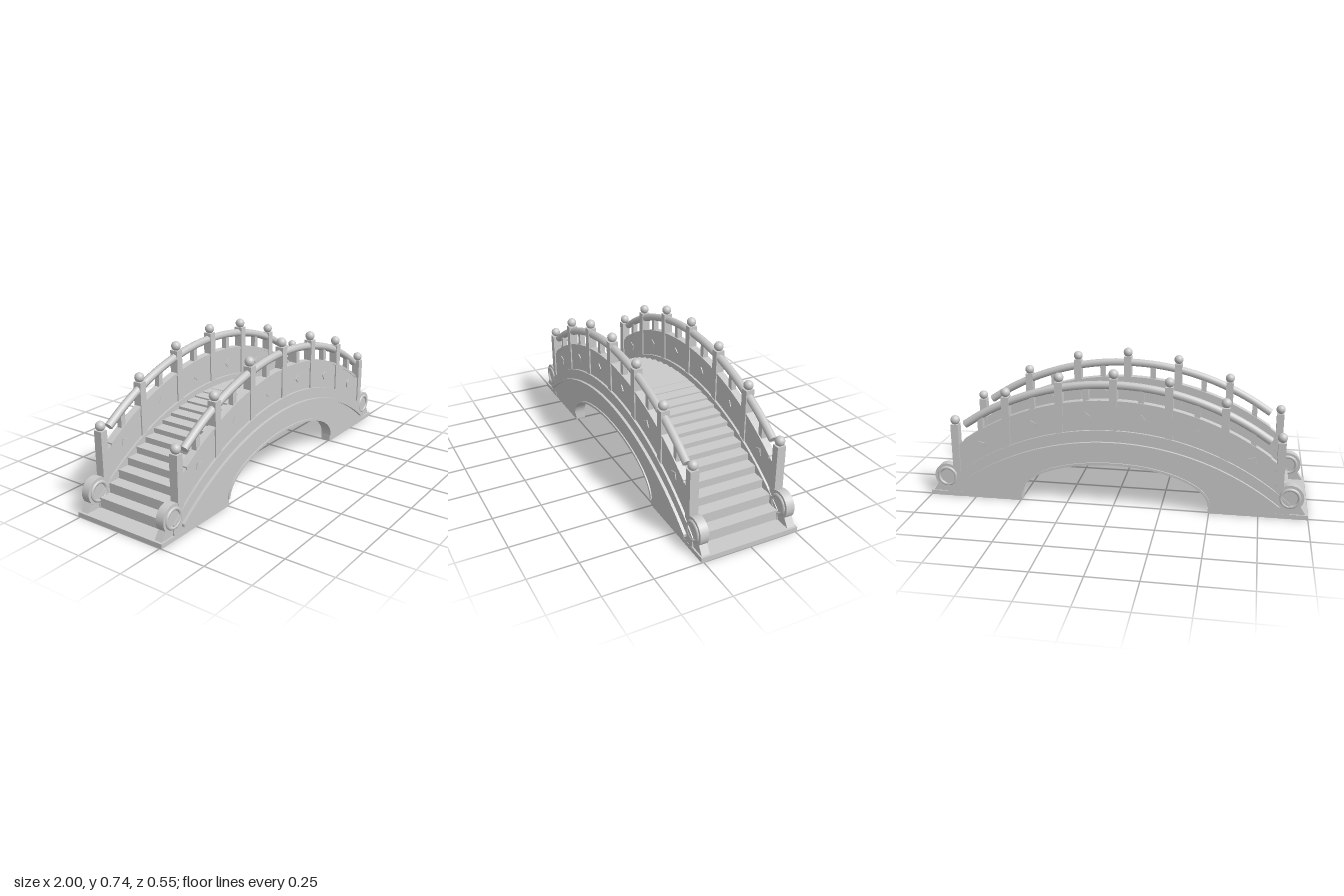
import * as THREE from 'three';

const stone = new THREE.MeshStandardMaterial({ color: 0xcacaca });
stone.name = 'pale stone';

const R = 1.38; // radius shared by all the bridge arcs
const arc = (top, x) => top - R + Math.sqrt(R * R - x * x);
const POSTS = [-0.85, -0.567, -0.283, 0, 0.283, 0.567, 0.85];
const SIDE = 0.232; // z of each balustrade

export function createModel() {
  const model = new THREE.Group();
  model.name = 'archedFootbridge';

  const add = (parent, name, geometry, x = 0, y = 0, z = 0) => {
    const mesh = new THREE.Mesh(geometry, stone);
    mesh.name = name;
    mesh.position.set(x, y, z);
    parent.add(mesh);
    return mesh;
  };
  const box = (parent, name, w, h, d, x, y, z) =>
    add(parent, name, new THREE.BoxGeometry(w, h, d), x, y, z);

  // points along a bridge arc
  const arcPoints = (top, x0, x1, n = 48) =>
    Array.from({ length: n + 1 }, (_, i) => {
      const x = x0 + (x1 - x0) * i / n;
      return new THREE.Vector2(x, arc(top, x));
    });
  // points along the opening below the bridge, from right to left
  const openingPoints = (a, b, n = 40) =>
    Array.from({ length: n + 1 }, (_, i) => {
      const t = Math.PI * i / n;
      return new THREE.Vector2(a * Math.cos(t), 0.04 + b * Math.sin(t));
    });
  const slab = (parent, name, points, z0, z1) =>
    add(parent, name, new THREE.ExtrudeGeometry(new THREE.Shape(points),
      { depth: z1 - z0, bevelEnabled: false }), 0, 0, z0);
  const band = (parent, name, top, bottom, x0, x1, z0, z1, n) =>
    slab(parent, name, [...arcPoints(bottom, x0, x1, n), ...arcPoints(top, x1, x0, n)], z0, z1);

  // stepped deck
  const pitch = 0.067;
  for (let i = -13; i <= 13; i++) {
    const top = arc(0.388, i * pitch);
    const h = Math.min(0.052, top - 0.004);
    box(model, 'step', pitch + 0.004, h, 0.42, i * pitch, top - h / 2, 0);
  }
  // landings at both ends
  for (const s of [-1, 1]) box(model, 'landing', 0.18, 0.024, 0.522, s * 0.91, 0.012, 0);

  const buildSide = (dir) => {
    const side = new THREE.Group();
    side.name = dir > 0 ? 'frontSide' : 'backSide';

    // spandrel wall with the arched opening
    const V = (x, y) => new THREE.Vector2(x, y);
    slab(side, 'spandrelWall', [
      ...arcPoints(0.42, 0.91, -0.91), V(-0.91, 0), V(-0.495, 0),
      ...openingPoints(0.495, 0.195).reverse(), V(0.495, 0), V(0.91, 0),
    ], 0.205, 0.26);

    // raised mouldings on the outer face
    band(side, 'archMoulding', 0.36, 0.345, -0.855, 0.855, 0.255, 0.275);
    slab(side, 'openingMoulding',
      [...openingPoints(0.505, 0.206), ...openingPoints(0.492, 0.193).reverse()], 0.255, 0.267);

    // parapet panels, cap and diamonds
    band(side, 'parapet', 0.57, 0.41, -0.84, 0.84, 0.216, 0.248);
    band(side, 'parapetCap', 0.577, 0.562, -0.8, 0.8, 0.212, 0.252);
    for (let i = 0; i < 6; i++) {
      const x = (POSTS[i] + POSTS[i + 1]) / 2;
      const slope = -Math.asin(x / R);
      for (const z of [0.216, 0.248]) {
        const d = box(side, 'diamond', 0.036, 0.036, 0.009, x, arc(0.492, x), z);
        d.rotation.z = slope + Math.PI / 4;
      }
      // short balusters under the rail
      const y0 = arc(0.565, x), y1 = arc(0.655, x);
      box(side, 'baluster', 0.028, y1 - y0, 0.028, x, (y0 + y1) / 2, SIDE);
    }

    // posts with ball finials
    const tops = [0.402, 0.567, 0.66, 0.69];
    POSTS.forEach((x, i) => {
      const top = tops[Math.min(i, 6 - i)];
      const bottom = arc(0.41, x);
      box(side, 'post', 0.04, top - bottom, 0.046, x, (top + bottom) / 2, SIDE);
      add(side, 'finial', new THREE.SphereGeometry(0.025, 20, 14), x, top + 0.022, SIDE);
    });

    // curved handrail with closed ends
    const path = new THREE.CatmullRomCurve3(
      arcPoints(0.655, -0.795, 0.795, 16).map((p) => new THREE.Vector3(p.x, p.y, SIDE)));
    add(side, 'handrail', new THREE.TubeGeometry(path, 48, 0.021, 8));
    for (const s of [-1, 1]) {
      const end = add(side, 'handrailEnd', new THREE.CircleGeometry(0.021, 8),
        s * 0.795, arc(0.655, 0.795), SIDE);
      end.lookAt(end.position.clone().add(path.getTangent(s > 0 ? 1 : 0).multiplyScalar(s)));
    }

    // drum stones on splayed feet
    for (const s of [-1, 1]) {
      const cx = s * 0.905, cy = 0.11;
      const drum = add(side, 'drumStone',
        new THREE.CylinderGeometry(0.07, 0.07, 0.045, 32), cx, cy, SIDE);
      drum.rotation.x = Math.PI / 2;
      for (const z of [0.21, 0.254])
        add(side, 'drumRing', new THREE.TorusGeometry(0.047, 0.009, 8, 32), cx, cy, z);
      const foot = [[0.99, 0.02], [0.955, 0.075], [0.86, 0.075], [0.83, 0.02]];
      const pts = foot.map(([x, y]) => V(s * x, y));
      slab(side, 'drumFoot', pts, 0.211, 0.253);
    }

    // the back side is the front turned half round
    if (dir < 0) side.rotation.y = Math.PI;
    model.add(side);
  };
  buildSide(1);
  buildSide(-1);

  return model;
}
